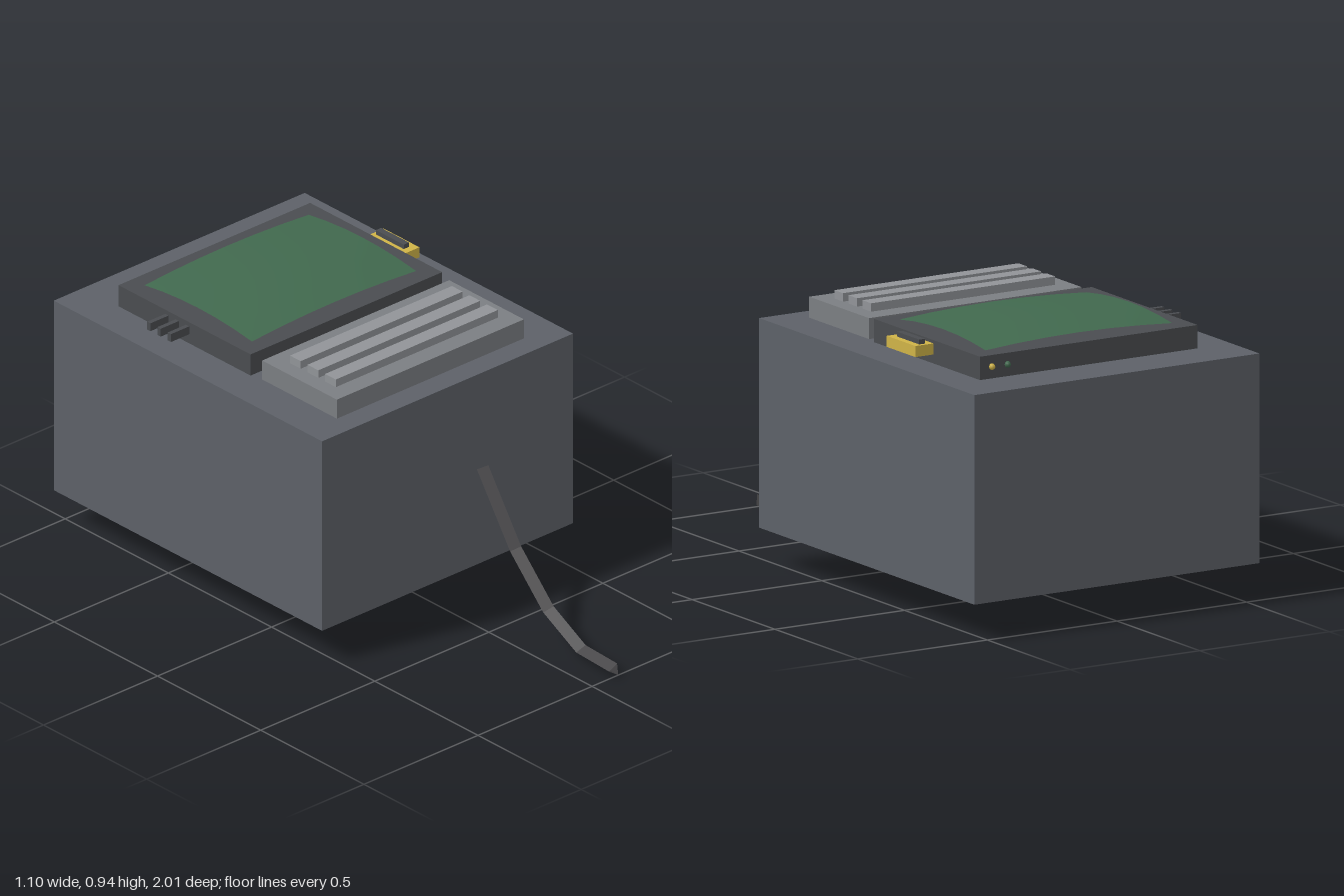
import * as THREE from 'three';

const mat = (color, extra = {}) => {
  const m = new THREE.MeshStandardMaterial({ color, ...extra });
  return m;
};

export function createModel() {
  const group = new THREE.Group();
  const add = (name, geometry, material) => {
    const mesh = new THREE.Mesh(geometry, material);
    mesh.name = name;
    group.add(mesh);
    return mesh;
  };
  // Box given by its extents along each axis
  const box = (name, material, [x0, x1], [y0, y1], [z0, z1]) => {
    const g = new THREE.BoxGeometry(x1 - x0, y1 - y0, z1 - z0);
    g.translate((x0 + x1) / 2, (y0 + y1) / 2, (z0 + z1) / 2);
    return add(name, g, material);
  };

  const body = mat(0x5d6168);
  const dark = mat(0x4a4c50);
  const keyboardGrey = mat(0x7b7e82);
  const keyGrey = mat(0x919498);
  const green = mat(0x41694e);
  const yellow = mat(0xcfb347);

  // Main cabinet
  box('cabinet', body, [-0.55, 0.55], [0.13, 0.83], [-1, 0.3]);

  // Display housing
  box('displayHousing', dark, [-0.42, 0.42], [0.83, 0.908], [-0.83, -0.19]);

  // Bulging screen: a grid whose height falls off towards each edge
  const screen = new THREE.PlaneGeometry(0.72, 0.52, 6, 6);
  screen.rotateX(-Math.PI / 2);
  const p = screen.attributes.position;
  for (let i = 0; i < p.count; i++) {
    const u = p.getX(i) / 0.36, v = p.getZ(i) / 0.26;
    p.setY(i, 0.91 + 0.015 * (1 - u * u) + 0.02 * (1 - v * v));
  }
  screen.translate(0, 0, -0.51);
  screen.computeVertexNormals();
  add('screen', screen, green);

  // Keyboard with three rows of keys
  box('keyboard', keyboardGrey, [-0.41, 0.41], [0.83, 0.9], [-0.145, 0.217]);
  for (const z of [-0.045, 0.04, 0.125]) {
    box('keyRow', keyGrey, [-0.355, 0.355], [0.9, 0.928], [z - 0.026, z + 0.026]);
  }

  // Switch block on the left side, with its slider
  box('switchBlock', yellow, [0.422, 0.492], [0.861, 0.898], [-0.553, -0.38]);
  box('switchSlider', dark, [0.446, 0.469], [0.89, 0.914], [-0.54, -0.405]);

  // Three prongs on the right side
  for (const z of [-0.595, -0.545, -0.495]) {
    box('prong', dark, [-0.5, -0.42], [0.864, 0.893], [z - 0.008, z + 0.008]);
  }

  // Two indicator lamps at the back
  for (const [x, m] of [[0.315, green], [0.375, yellow]]) {
    const lamp = new THREE.SphereGeometry(0.011, 8, 6);
    lamp.translate(x, 0.87, -0.833);
    add('indicatorLamp', lamp, m);
  }

  // Three-sided cable, built facing backwards and turned round
  const curve = new THREE.QuadraticBezierCurve3(
    new THREE.Vector3(-0.152, 0.48, -0.3),
    new THREE.Vector3(-0.127, -0.055, -0.65),
    new THREE.Vector3(-0.1, 0.03, -1),
  );
  curve.getPointAt = (t, target) => curve.getPoint(t, target);
  curve.getTangentAt = (t, target) => curve.getTangent(t, target);
  const cable = add('cable', new THREE.TubeGeometry(curve, 4, 0.023, 3),
    mat(0x454446, { flatShading: true, side: THREE.DoubleSide }));
  cable.rotation.y = Math.PI;

  return group;
}
